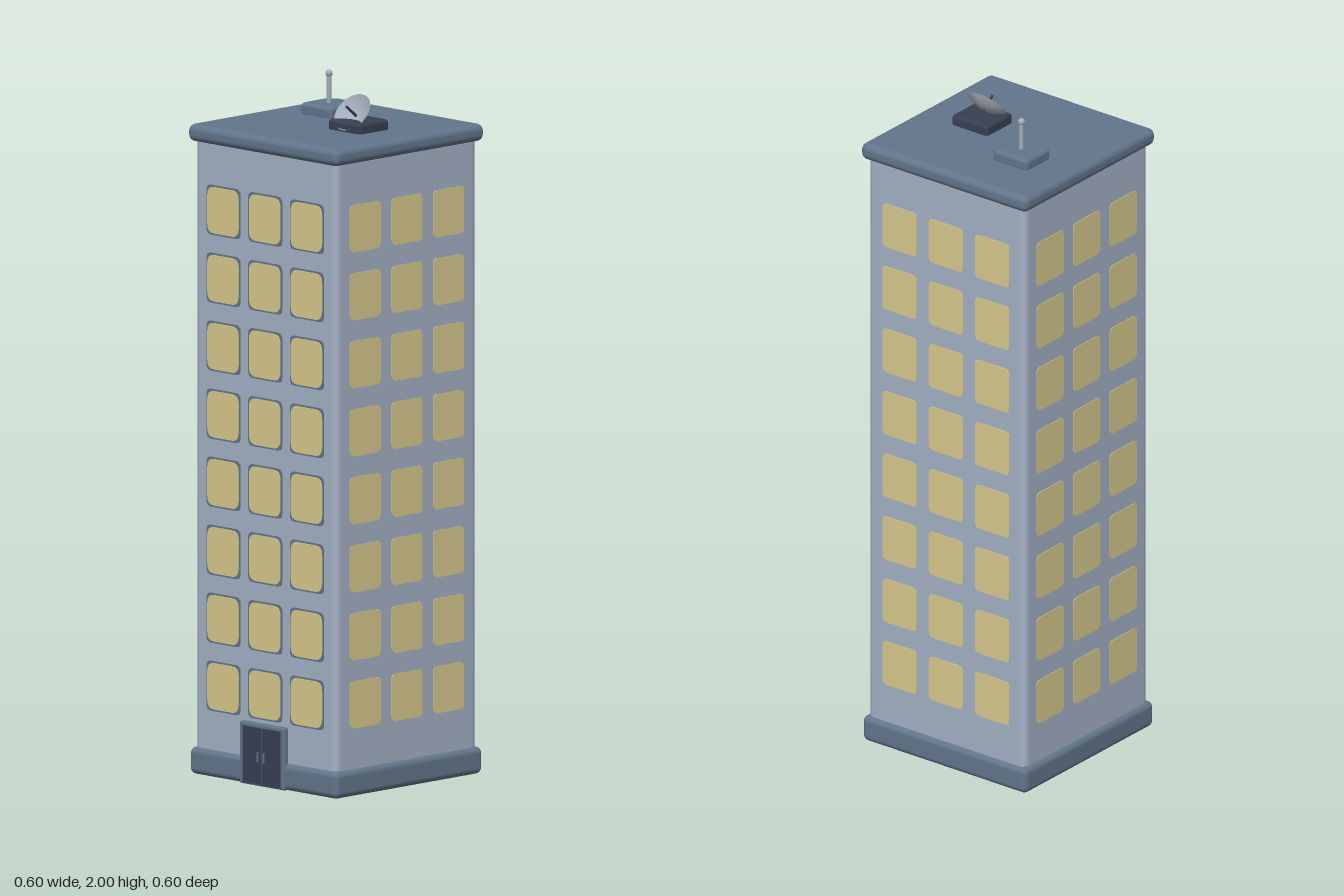
import * as THREE from 'three';
import { RoundedBoxGeometry } from 'three/addons/geometries/RoundedBoxGeometry.js';

const material = (name, color, side = THREE.FrontSide) => {
  const m = new THREE.MeshStandardMaterial({ color, side });
  m.name = name;
  return m;
};

// Rounded rectangle plate, facing +z and centred on its own origin
function plate(w, h, r, depth) {
  const x = w / 2, y = h / 2;
  const s = new THREE.Shape();
  s.moveTo(-x + r, -y);
  s.lineTo(x - r, -y);
  s.quadraticCurveTo(x, -y, x, -y + r);
  s.lineTo(x, y - r);
  s.quadraticCurveTo(x, y, x - r, y);
  s.lineTo(-x + r, y);
  s.quadraticCurveTo(-x, y, -x, y - r);
  s.lineTo(-x, -y + r);
  s.quadraticCurveTo(-x, -y, -x + r, -y);
  const g = new THREE.ExtrudeGeometry(s, { depth, bevelEnabled: false, curveSegments: 4 });
  return g.translate(0, 0, -depth / 2);
}

export function createModel() {
  const wall = material('wall', 0xa3b0c4);
  const trim = material('trim', 0x62758a);
  const glass = material('litGlass', 0xd6c88c);
  const dark = material('dark', 0x383f52);
  const metal = material('metal', 0xa3adb8, THREE.DoubleSide);

  const model = new THREE.Group();
  model.name = 'towerBlock';
  const add = (name, geometry, mat, x, y, z, parent = model) => {
    const mesh = new THREE.Mesh(geometry, mat);
    mesh.name = name;
    mesh.position.set(x, y, z);
    parent.add(mesh);
    return mesh;
  };
  const rounded = (w, h, d, r) => new RoundedBoxGeometry(w, h, d, 4, r);

  // Main masses
  add('walls', rounded(0.566, 1.82, 0.566, 0.02), wall, 0, 0.93, 0);
  add('plinth', rounded(0.592, 0.078, 0.592, 0.018), trim, 0, 0.039, 0);
  add('roofSlab', rounded(0.6, 0.05, 0.6, 0.02), trim, 0, 1.848, 0);

  // Window grids on all four sides, framed on the front only
  const frameGeo = plate(0.135, 0.144, 0.018, 0.006);
  const frontGlass = plate(0.125, 0.134, 0.026, 0.006);
  const sideGlass = plate(0.124, 0.136, 0.016, 0.006);
  ['front', 'left', 'back', 'right'].forEach((side, k) => {
    const facade = new THREE.Group();
    facade.name = side + 'Windows';
    facade.rotation.y = k * Math.PI / 2;
    model.add(facade);
    for (let row = 0; row < 8; row++) {
      for (let col = -1; col <= 1; col++) {
        const x = col * 0.167, y = 0.262 + row * 0.196;
        if (k === 0) add('windowFrame', frameGeo, trim, x, y, 0.282, facade);
        add('windowPane', k === 0 ? frontGlass : sideGlass, glass, x, y, k === 0 ? 0.284 : 0.282, facade);
      }
    }
  });

  // Double entrance door
  const door = new THREE.Group();
  door.name = 'entrance';
  model.add(door);
  add('doorFrame', rounded(0.182, 0.18, 0.03, 0.006), trim, 0, 0.09, 0.283, door);
  for (const s of [-1, 1]) {
    add('doorLeaf', new THREE.BoxGeometry(0.073, 0.163, 0.008), dark, s * 0.0385, 0.087, 0.297, door);
    add('doorHandle', new THREE.BoxGeometry(0.004, 0.03, 0.004), trim, s * 0.012, 0.085, 0.302, door);
  }

  // Antenna with ball tip
  const antenna = new THREE.Group();
  antenna.name = 'antenna';
  antenna.position.set(-0.125, 0, -0.097);
  model.add(antenna);
  add('antennaBase', rounded(0.125, 0.04, 0.11, 0.012), trim, 0, 1.885, 0, antenna);
  add('antennaRod', new THREE.CylinderGeometry(0.007, 0.007, 0.09, 16), metal, 0, 1.945, 0, antenna);
  add('antennaTip', new THREE.SphereGeometry(0.0105, 16, 12), metal, 0, 1.9895, 0, antenna);

  // Satellite dish, tilted up and forward on a dark box
  add('dishBase', rounded(0.13, 0.04, 0.118, 0.01), dark, 0.108, 1.883, 0.018);
  const dish = new THREE.Group();
  dish.name = 'satelliteDish';
  dish.position.set(0.107, 1.925, 0.042);
  dish.rotation.x = 0.87;
  model.add(dish);
  const bowl = [];
  for (let i = 0; i <= 8; i++) {
    const t = i / 8;
    bowl.push(new THREE.Vector2(0.061 * t, 0.02 * (t * t - 1)));
  }
  add('dishBowl', new THREE.LatheGeometry(bowl, 40), metal, 0, 0, 0, dish);
  add('dishFeed', new THREE.CylinderGeometry(0.004, 0.004, 0.05, 12), dark, 0, 0.005, 0, dish);

  return model;
}
